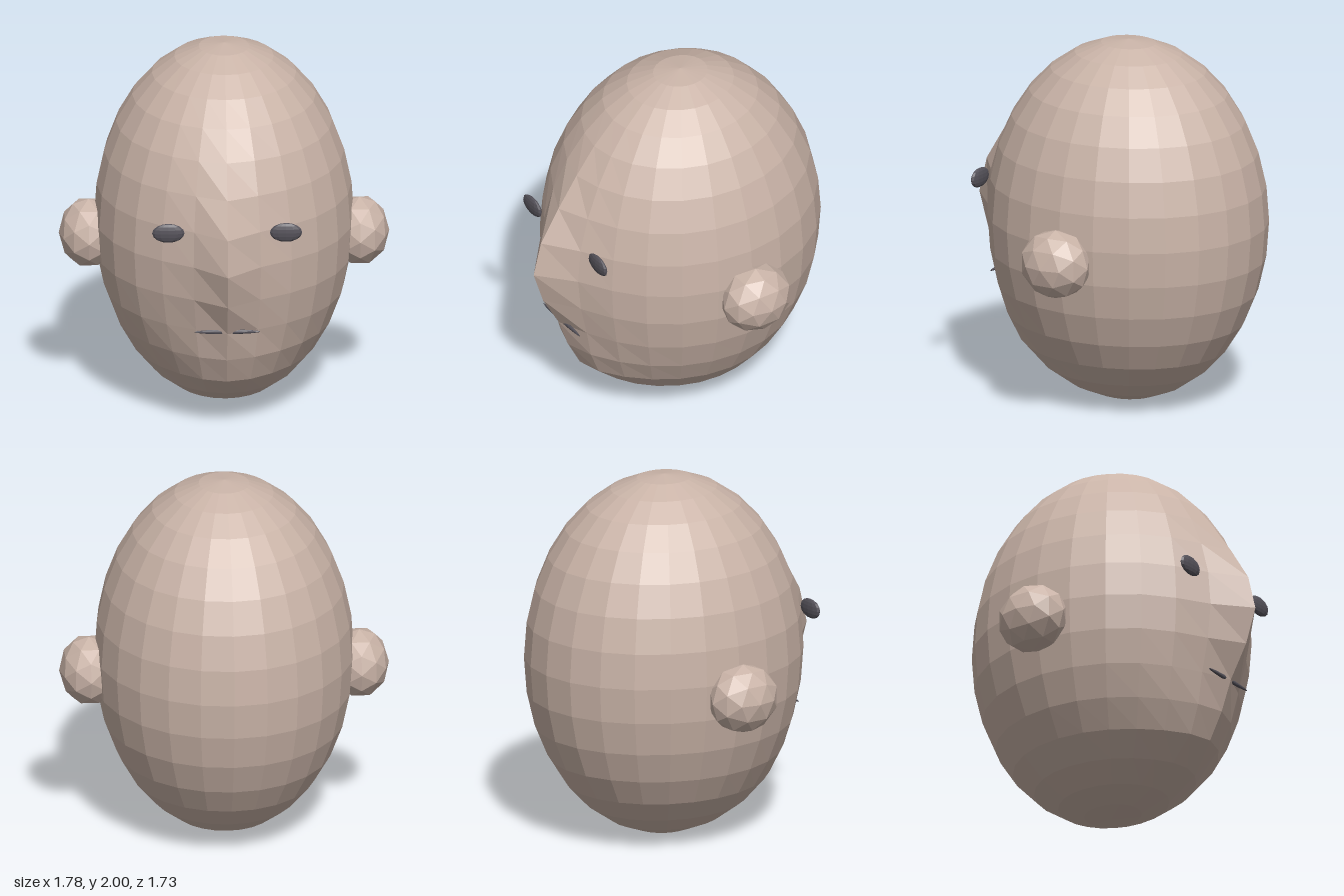
import * as THREE from 'three';

const skin = new THREE.MeshStandardMaterial({ color: 0xcab4a8 });
skin.name = 'skin';
const dark = new THREE.MeshStandardMaterial({ color: 0x55525a });
dark.name = 'darkGrey';

// Splits shared corners so every facet is shaded flat
function faceted(geometry) {
  const g = geometry.index ? geometry.toNonIndexed() : geometry;
  g.computeVertexNormals();
  return g;
}

function part(name, geometry, material, x, y, z) {
  const mesh = new THREE.Mesh(faceted(geometry), material);
  mesh.name = name;
  mesh.position.set(x, y, z);
  return mesh;
}

// Soft bump that fades away from its centre
const bump = (dx, dy, w, h) => Math.exp(-((dx / w) ** 2) - (dy / h) ** 2);

// Egg-shaped head with a nose ridge and chin pulled forward
function headGeometry() {
  const g = new THREE.SphereGeometry(1, 24, 16);
  g.scale(0.7, 1, 0.78);
  const p = g.attributes.position;
  for (let i = 0; i < p.count; i++) {
    const x = p.getX(i), y = p.getY(i), z = p.getZ(i);
    if (z < 0.02) continue;
    const nose = 0.17 * bump(x, y - 0.02, 0.137, 0.38);
    const chin = 0.095 * bump(x, y + 0.7, 0.3, 0.22);
    p.setZ(i, z + nose + chin);
  }
  return g;
}

export function createModel() {
  const group = new THREE.Group();
  group.name = 'head';

  group.add(part('skull', headGeometry(), skin, 0, 1, -0.08));

  for (const [side, s] of [['left', 1], ['right', -1]]) {
    // Ears
    const ear = new THREE.IcosahedronGeometry(1, 1).scale(0.16, 0.19, 0.203);
    group.add(part(side + 'Ear', ear, skin, s * 0.73, 0.915, -0.08));
    // Eyes
    const eye = new THREE.SphereGeometry(1, 12, 8).scale(0.087, 0.054, 0.02);
    group.add(part(side + 'Eye', eye, dark, s * 0.317, 1.185, 0.665));
  }

  // Mouth, a thin sliver crossing the nose ridge
  const mouth = new THREE.SphereGeometry(1, 12, 8).scale(0.18, 0.013, 0.01);
  group.add(part('mouth', mouth, dark, 0, 0.624, 0.688));

  return group;
}
